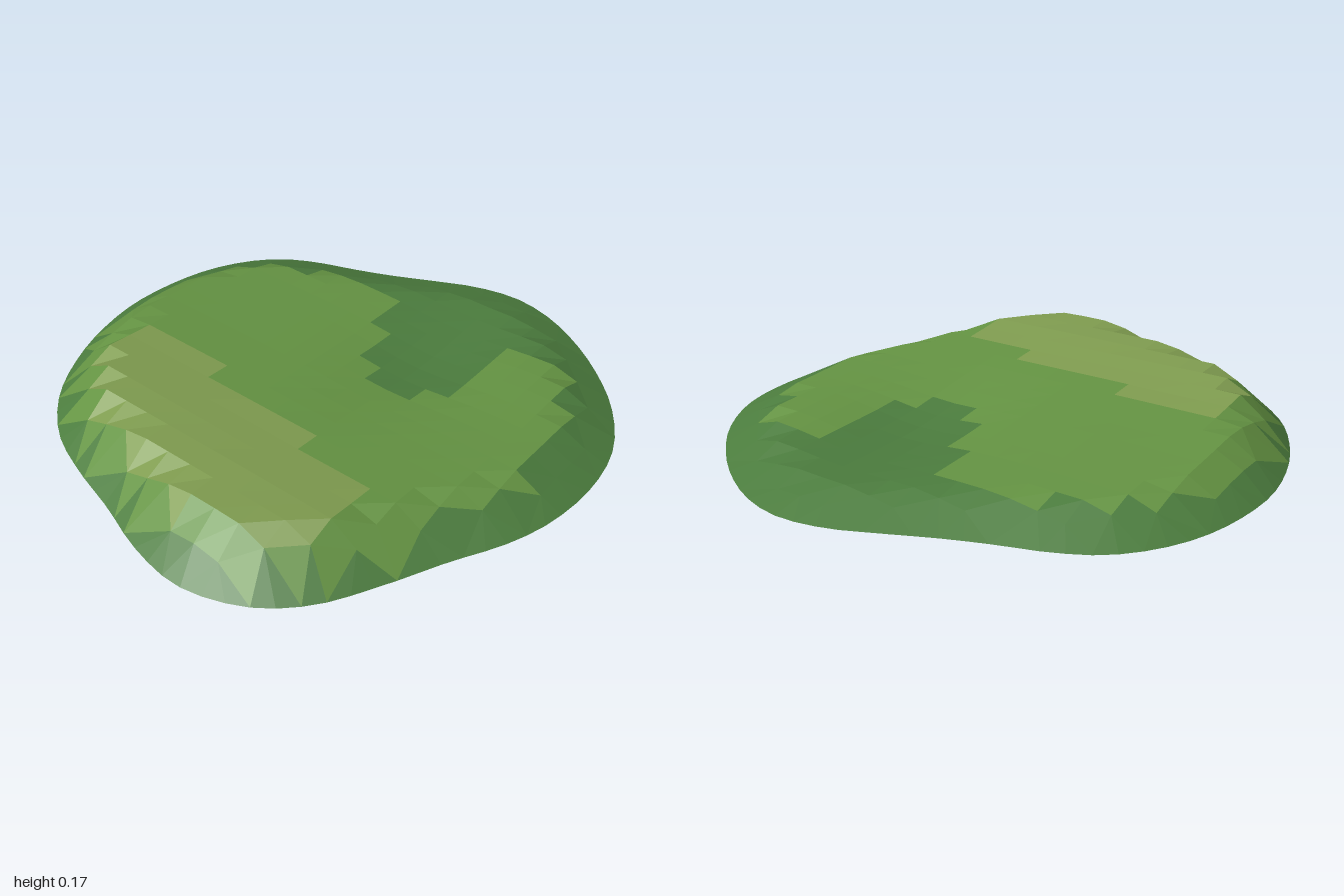
import * as THREE from 'three';

// Shoreline control points (x, z), listed so that x/z winding faces up
const SHORE = [
  [0.02, -1], [0.3, -0.96], [0.48, -0.88], [0.62, -0.76], [0.7, -0.62], [0.76, -0.45],
  [0.82, -0.3], [0.9, -0.13], [0.97, 0.03], [1, 0.2], [0.97, 0.36], [0.88, 0.54],
  [0.75, 0.71], [0.6, 0.85], [0.4, 0.96], [0.18, 0.995], [-0.05, 0.97], [-0.22, 0.91],
  [-0.4, 0.81], [-0.6, 0.71], [-0.8, 0.59], [-0.93, 0.44], [-1, 0.22], [-0.97, 0],
  [-0.9, -0.2], [-0.83, -0.43], [-0.75, -0.61], [-0.6, -0.78], [-0.4, -0.9], [-0.2, -0.97],
].reverse();

// Cross profile of the land from the high side (-x) to the low side (+x)
const PROFILE = [[-1, 0.16], [-0.7, 0.168], [-0.5, 0.16], [-0.3, 0.136], [0, 0.112],
  [0.4, 0.087], [0.6, 0.077], [0.75, 0.068], [1.1, 0.055]];

const STEP = 0.1;
const BANDS = [
  { name: 'lowGrass', below: 0.072, color: 0x4c7d3e },
  { name: 'midGrass', below: 0.13, color: 0x659443 },
  { name: 'highGrass', below: Infinity, color: 0x809d50 },
];

function profile(x) {
  let k = 0;
  while (k < PROFILE.length - 2 && x > PROFILE[k + 1][0]) k++;
  const [x0, y0] = PROFILE[k], [x1, y1] = PROFILE[k + 1];
  return y0 + (y1 - y0) * THREE.MathUtils.clamp((x - x0) / (x1 - x0), 0, 1);
}

const blob = (x, z, cx, cz, sx, sz) => Math.exp(-(((x - cx) / sx) ** 2) - ((z - cz) / sz) ** 2);

// Land height: sloping profile, a hollow and a low rise, falling to 0 at the shore
function landHeight(x, z, shoreDistance) {
  const h = profile(x + 0.15 * (z + 0.5))
    - 0.035 * blob(x, z, 0.32, 0.2, 0.36, 0.25)
    + 0.016 * blob(x, z, 0.55, 0.6, 0.3, 0.25);
  return h * Math.min(1, shoreDistance / 0.18);
}

function inside(x, z, poly) {
  let hit = false;
  poly.forEach((a, i) => {
    const b = poly[(i + 1) % poly.length];
    if ((a.z > z) !== (b.z > z) && x < a.x + ((z - a.z) / (b.z - a.z)) * (b.x - a.x)) hit = !hit;
  });
  return hit;
}

export function createModel() {
  const curve = new THREE.CatmullRomCurve3(
    SHORE.map(([x, z]) => new THREE.Vector3(x, 0, z)), true);
  const shore = curve.getSpacedPoints(80).slice(0, -1);
  const fine = curve.getSpacedPoints(320);

  // Square grid of land points that keep clear of the shore
  const grid = new Map();
  for (let i = -10; i <= 10; i++) {
    for (let j = -10; j <= 10; j++) {
      const p = new THREE.Vector3(i * STEP, 0, j * STEP);
      if (!inside(p.x, p.z, shore)) continue;
      const d = Math.min(...fine.map((q) => q.distanceTo(p)));
      if (d < 0.075) continue;
      p.y = landHeight(p.x, p.z, d);
      grid.set(`${i},${j}`, p);
    }
  }

  const buffers = BANDS.map(() => []);
  function addFace(points, low = false) {
    // A whole cell shares one colour band, chosen by its mean height
    const mean = points.reduce((s, p) => s + p.y, 0) / points.length;
    const band = low ? (Math.max(...points.map((p) => p.y)) > 0.1 && mean > 0.05 ? 1 : 0)
      : BANDS.findIndex((b) => mean < b.below);
    for (let k = 1; k < points.length - 1; k++) {
      for (const p of [points[0], points[k], points[k + 1]]) buffers[band].push(p.x, p.y, p.z);
    }
  }

  // Land cells: full squares, or a corner triangle where one point is missing
  const edges = new Map();
  for (let i = -10; i < 10; i++) {
    for (let j = -10; j < 10; j++) {
      const cell = [[i, j], [i, j + 1], [i + 1, j + 1], [i + 1, j]]
        .map(([a, b]) => `${a},${b}`).filter((k) => grid.has(k));
      if (cell.length < 3) continue;
      addFace(cell.map((k) => grid.get(k)));
      cell.forEach((k, n) => edges.set(`${k}>${cell[(n + 1) % cell.length]}`, true));
    }
  }

  // Follow the outer edge of the cells
  const next = new Map();
  for (const e of edges.keys()) {
    const [a, b] = e.split('>');
    if (!edges.has(`${b}>${a}`)) next.set(a, b);
  }
  const start = next.keys().next().value;
  const rim = [];
  let key = start;
  do {
    rim.push(grid.get(key));
    key = next.get(key);
  } while (key && key !== start && rim.length < 500);

  // Bank: zip the cell edge to the shoreline with the shorter diagonal each time
  let first = 0;
  shore.forEach((p, k) => {
    if (p.distanceTo(rim[0]) < shore[first].distanceTo(rim[0])) first = k;
  });
  const inner = (k) => rim[k % rim.length];
  const outer = (k) => shore[(first + k) % shore.length];
  let a = 0, b = 0;
  while (a < rim.length || b < shore.length) {
    const stepOuter = b < shore.length && (a >= rim.length
      || inner(a).distanceTo(outer(b + 1)) < inner(a + 1).distanceTo(outer(b)));
    if (stepOuter) addFace([inner(a), outer(b), outer(++b)], true);
    else addFace([inner(a), outer(b), inner(++a)], true);
  }

  // One mesh per grass colour
  const group = new THREE.Group();
  group.name = 'grassIsland';
  BANDS.forEach(({ name, color }, k) => {
    const geometry = new THREE.BufferGeometry();
    geometry.setAttribute('position', new THREE.Float32BufferAttribute(buffers[k], 3));
    geometry.computeVertexNormals();
    const mesh = new THREE.Mesh(geometry, new THREE.MeshStandardMaterial({
      color, flatShading: true, side: THREE.DoubleSide }));
    mesh.name = name;
    group.add(mesh);
  });
  return group;
}
